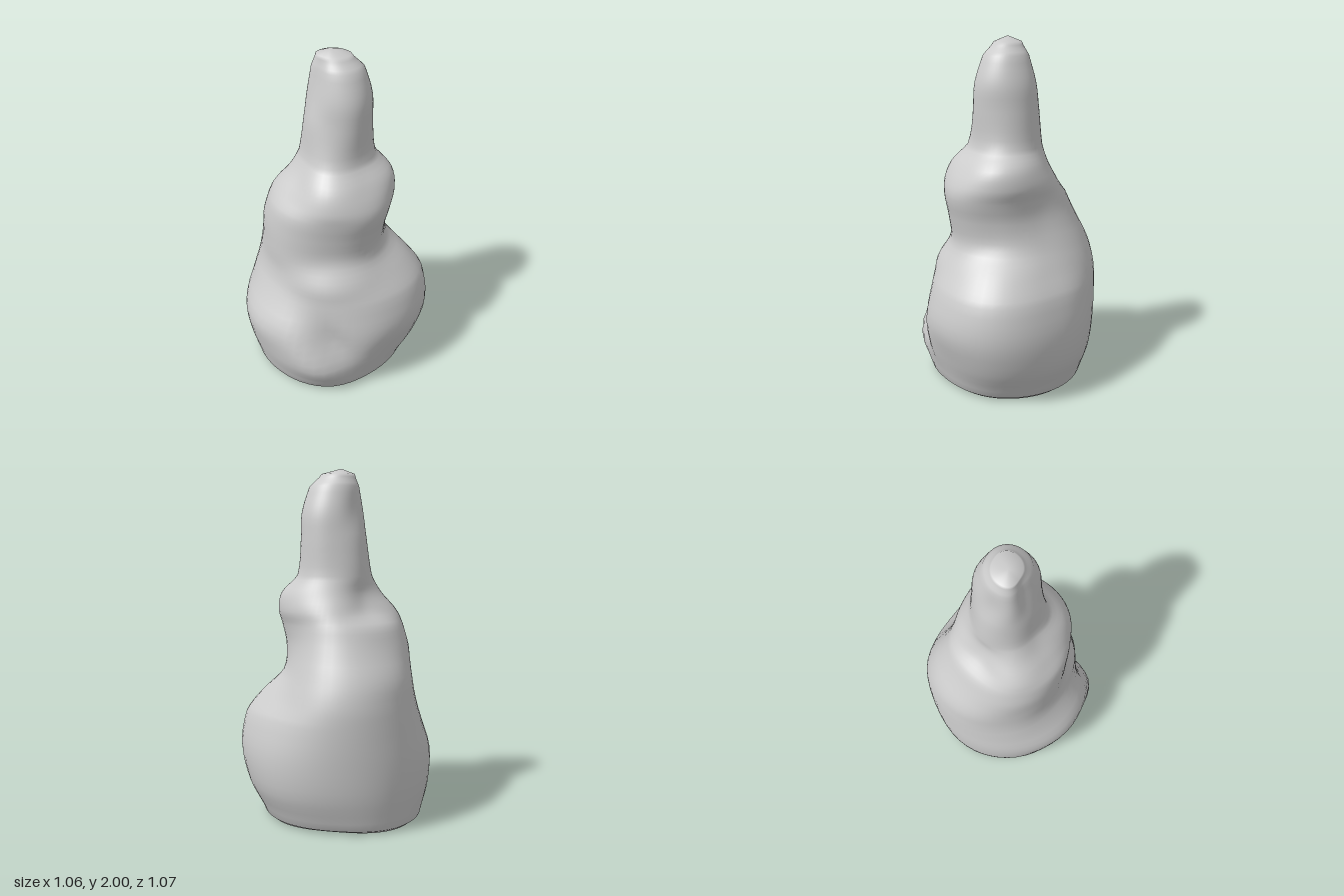
import * as THREE from 'three';

const SEGMENTS = 56;  // points around each ring
const STEPS = 4;      // rings between neighbouring cross-sections

// Cross-sections of the mound: height, then radius every 45 degrees from +x towards +z
const SECTIONS = [
  [0.00, .395, .43, .435, .45, .475, .395, .41, .41],
  [0.02, .42, .465, .465, .485, .50, .44, .435, .44],
  [0.20, .475, .535, .515, .53, .525, .495, .51, .53],
  [0.40, .52, .485, .54, .535, .53, .515, .525, .58],
  [0.60, .475, .435, .43, .475, .515, .515, .48, .55],
  [0.72, .405, .415, .39, .44, .50, .50, .41, .455],
  [0.85, .335, .34, .385, .42, .472, .455, .345, .325],
  [1.00, .35, .345, .38, .405, .395, .385, .305, .31],
  [1.12, .375, .36, .365, .37, .335, .335, .30, .335],
  [1.20, .36, .36, .31, .33, .24, .29, .31, .355],
  [1.30, .30, .32, .235, .245, .197, .235, .28, .335],
  [1.40, .22, .225, .18, .19, .195, .20, .23, .24],
  [1.60, .215, .18, .155, .16, .17, .18, .215, .22],
  [1.75, .21, .16, .12, .14, .13, .16, .20, .215],
  [1.90, .155, .12, .09, .115, .113, .12, .145, .17],
  [1.97, .085, .075, .072, .09, .082, .08, .085, .10],
];

// Smooth blend through four neighbouring values
function blend(a, b, c, d, t) {
  return b + 0.5 * t * (c - a + t * (2 * a - 5 * b + 4 * c - d + t * (3 * (b - c) + d - a)));
}

// Radius of one cross-section at any angle
function radiusAt(section, angle) {
  const u = (angle / (Math.PI * 2)) * 8;
  const i = Math.floor(u);
  const r = (k) => section[1 + ((i + k + 8) % 8)];
  return blend(r(-1), r(0), r(1), r(2), u - i);
}

// Slanting valley and the lip beside it, where the lowest coil tucks under itself
function tuck(angle, y) {
  const offset = angle - 0.47 - 1.1 * (y - 0.17);
  const valley = -0.065 * Math.exp(-((offset / 0.2) ** 2));
  const lip = 0.025 * Math.exp(-(((offset - 0.42) / 0.2) ** 2));
  return (valley + lip) * Math.exp(-(((y - 0.32) / 0.17) ** 2));
}

// All rings from the ground to the tip
function makeRings() {
  const rings = [];
  const last = SECTIONS.length - 1;
  const at = (k) => SECTIONS[Math.min(Math.max(k, 0), last)];
  for (let k = 0; k <= last; k++) {
    for (let s = 0; s < (k < last ? STEPS : 1); s++) {
      const t = s / STEPS;
      const y = at(k)[0] + (at(k + 1)[0] - at(k)[0]) * t;
      const ring = [];
      for (let i = 0; i < SEGMENTS; i++) {
        const angle = (i / SEGMENTS) * Math.PI * 2;
        const [a, b, c, d] = [-1, 0, 1, 2].map((o) => radiusAt(at(k + o), angle));
        const r = blend(a, b, c, d, t) + tuck(angle, y);
        ring.push(new THREE.Vector3(r * Math.cos(angle), y, r * Math.sin(angle)));
      }
      rings.push(ring);
    }
  }
  return rings;
}

export function createModel() {
  const group = new THREE.Group();
  group.name = 'swirledMound';
  const rings = makeRings();

  // Coiled hollow shell, open underneath and closed by a rounded tip
  const points = rings.flat();
  const index = [];
  const top = (rings.length - 1) * SEGMENTS;
  const tip = points.length;
  points.push(new THREE.Vector3(-0.01, 2, 0.01));
  for (let i = 0; i < SEGMENTS; i++) {
    const next = (i + 1) % SEGMENTS;
    for (let row = 0; row < top; row += SEGMENTS) {
      const a = row + i, b = row + next;
      const c = a + SEGMENTS, d = b + SEGMENTS;
      index.push(a, c, b, b, c, d);
    }
    index.push(top + i, tip, top + next);
  }
  const geometry = new THREE.BufferGeometry().setFromPoints(points);
  geometry.setIndex(index);
  geometry.computeVertexNormals();
  const material = new THREE.MeshStandardMaterial({ color: 0xcccccc, side: THREE.DoubleSide });
  const shell = new THREE.Mesh(geometry, material);
  shell.name = 'coiledShell';
  group.add(shell);

  return group;
}
